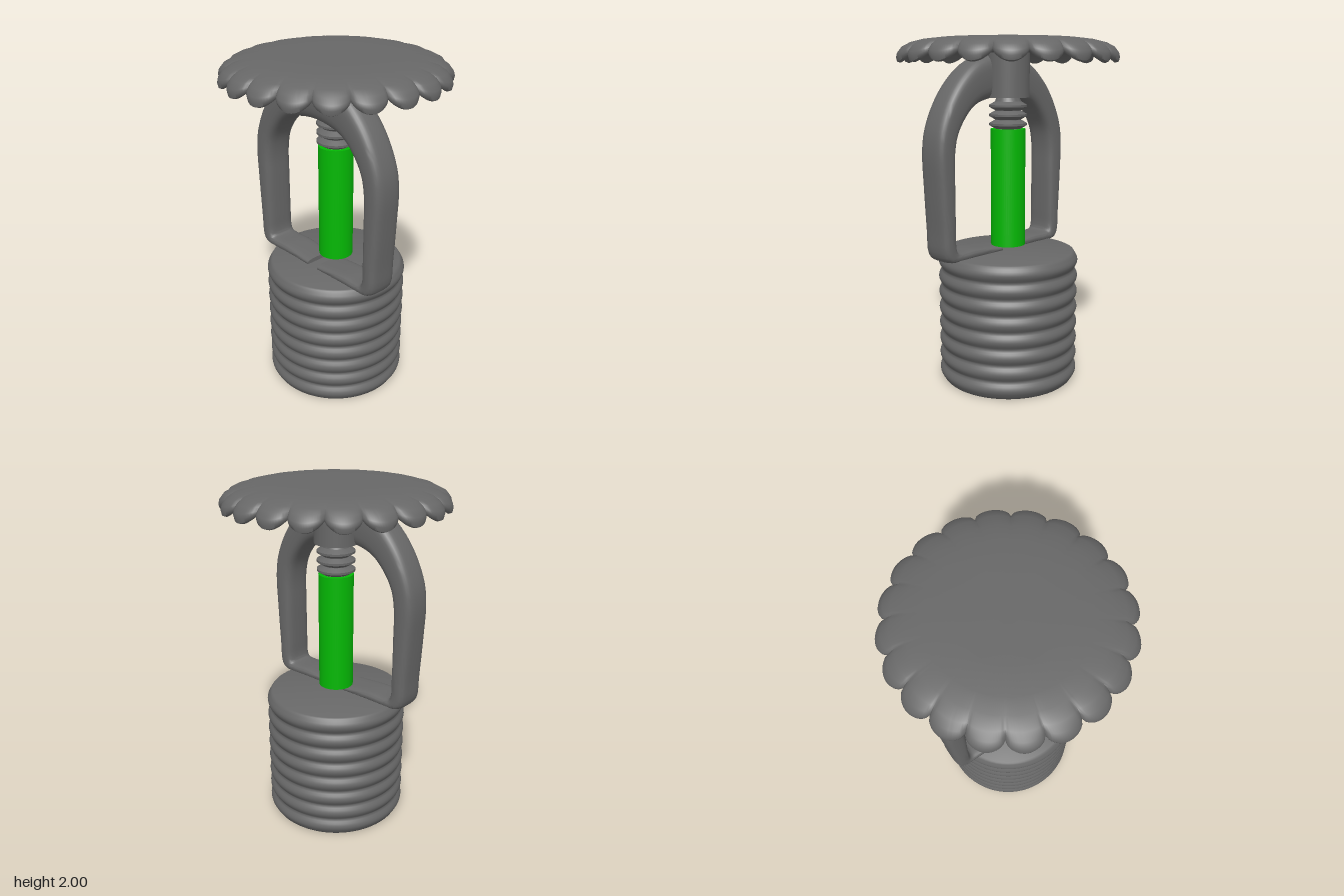
import * as THREE from 'three';
import { toCreasedNormals } from 'three/addons/utils/BufferGeometryUtils.js';

const metal = new THREE.MeshStandardMaterial({ color: 0x676767 });
const green = new THREE.MeshStandardMaterial({ color: 0x04b804 });

// Skin a list of closed rings of points, with a fan cap at each end
function loft(rings, crease) {
  const n = rings[0].length, pos = [], idx = [];
  rings.forEach(r => r.forEach(p => pos.push(p.x, p.y, p.z)));
  for (let i = 0; i < rings.length - 1; i++) {
    for (let j = 0; j < n; j++) {
      const k = (j + 1) % n;
      const a = i * n + j, b = i * n + k, c = a + n, d = b + n;
      idx.push(a, b, c, b, d, c);
    }
  }
  [0, rings.length - 1].forEach((row, end) => {
    const centre = new THREE.Vector3();
    rings[row].forEach(p => centre.addScaledVector(p, 1 / n));
    const ci = pos.length / 3;
    pos.push(centre.x, centre.y, centre.z);
    for (let j = 0; j < n; j++) {
      const a = row * n + j, b = row * n + (j + 1) % n;
      if (end === 0) idx.push(ci, b, a); else idx.push(ci, a, b);
    }
  });
  const g = new THREE.BufferGeometry();
  g.setAttribute('position', new THREE.Float32BufferAttribute(pos, 3));
  g.setIndex(idx);
  g.computeVertexNormals();
  return toCreasedNormals(g, crease);
}

function lathe(points, segments, crease) {
  return toCreasedNormals(new THREE.LatheGeometry(points.map(p => new THREE.Vector2(p[0], p[1])), segments), crease);
}

// Pipe end with softly rounded thread ridges
function threadedBase() {
  const ridges = 8, steps = 8, low = 0.008, high = 0.772, pts = [[0, 0], [0.38, 0]];
  for (let i = 0; i <= ridges * steps; i++) {
    const t = i / (ridges * steps);
    const bulge = Math.pow(Math.abs(Math.sin(t * ridges * Math.PI)), 1.2);
    pts.push([0.389 + 0.022 * bulge, low + (high - low) * t]);
  }
  pts.push([0.38, 0.776], [0, 0.776]);
  return lathe(pts, 72, 1.2);
}

// Yoke: outer and inner outlines (z, y) swept with a rounded section
function yoke() {
  const half = [
    [0.04, 0.765, 0.04, 0.802], [0.25, 0.765, 0.25, 0.82], [0.36, 0.763, 0.34, 0.818],
    [0.44, 0.768, 0.378, 0.825], [0.475, 0.80, 0.388, 0.855], [0.488, 0.95, 0.389, 0.95],
    [0.505, 1.2, 0.387, 1.2], [0.512, 1.38, 0.384, 1.36], [0.495, 1.5, 0.36, 1.47],
    [0.43, 1.65, 0.30, 1.56], [0.33, 1.78, 0.23, 1.62], [0.2, 1.875, 0.15, 1.65],
  ];
  const other = half.slice().reverse().map(([a, b, c, d]) => [-a, b, -c, d]);
  const stations = [...half, [0, 1.915, 0, 1.67], ...other];
  const outer = new THREE.CatmullRomCurve3(stations.map(s => new THREE.Vector3(0, s[1], s[0])));
  const inner = new THREE.CatmullRomCurve3(stations.map(s => new THREE.Vector3(0, s[3], s[2])));
  const rings = [], count = 96, sides = 32;
  const round = v => Math.sign(v) * Math.pow(Math.abs(v), 0.6);
  for (let i = 0; i <= count; i++) {
    const o = outer.getPoint(i / count), q = inner.getPoint(i / count);
    const ring = [];
    for (let j = 0; j < sides; j++) {
      const a = -j / sides * Math.PI * 2;
      const p = q.clone().lerp(o, 0.5 + 0.5 * round(Math.sin(a)));
      p.x = -0.095 + 0.093 * round(Math.cos(a));
      ring.push(p);
    }
    rings.push(ring);
  }
  return loft(rings, 0.9);
}

// Deflector plate: each row is radius, petal radius gain, height, petal height drop
function deflector() {
  const rows = [
    [0.05, 0, 2.0, 0], [0.25, 0, 2.0, 0], [0.4, 0, 1.995, 0], [0.48, 0.005, 1.985, 0],
    [0.535, 0.018, 1.968, 0], [0.557, 0.04, 1.95, 0.004], [0.57, 0.053, 1.933, 0.02],
    [0.574, 0.055, 1.924, 0.035], [0.572, 0.052, 1.916, 0.05], [0.562, 0.046, 1.914, 0.054],
    [0.55, 0.034, 1.914, 0.035], [0.535, 0.016, 1.915, 0.01], [0.5, 0, 1.915, 0], [0.05, 0, 1.915, 0],
  ];
  const petals = 20, n = petals * 16;
  return loft(rows.map(([r, gain, y, drop]) => Array.from({ length: n }, (_, j) => {
    const a = j / n * Math.PI * 2;
    const s = Math.abs(Math.sin(a * petals / 2));
    const radius = r + gain * Math.pow(s, 0.55);
    return new THREE.Vector3(radius * Math.cos(a), y - drop * Math.pow(s, 0.8), radius * Math.sin(a));
  })), 0.9);
}

// Set screw with three sharp ridges
function screw() {
  const pts = [[0, 1.48], [0.08, 1.48]];
  for (let i = 0; i < 3; i++) {
    const y = 1.516 + i * 0.052;
    pts.push([0.075, y - 0.025], [0.108, y - 0.006], [0.108, y + 0.006], [0.075, y + 0.025]);
  }
  pts.push([0.06, 1.68], [0, 1.68]);
  return lathe(pts, 48, 0.4);
}

export function createModel() {
  const model = new THREE.Group();
  const add = (name, geometry, material, y = 0) => {
    const mesh = new THREE.Mesh(geometry, material);
    mesh.name = name;
    mesh.position.y = y;
    model.add(mesh);
  };
  add('threadedBase', threadedBase(), metal);
  add('yokeFrame', yoke(), metal);
  add('hub', new THREE.CylinderGeometry(0.123, 0.123, 0.26, 48), metal, 1.797);
  add('setScrew', screw(), metal);
  add('bulb', new THREE.CylinderGeometry(0.1, 0.1, 0.68, 48), green, 1.15);
  add('deflectorPlate', deflector(), metal);
  return model;
}
